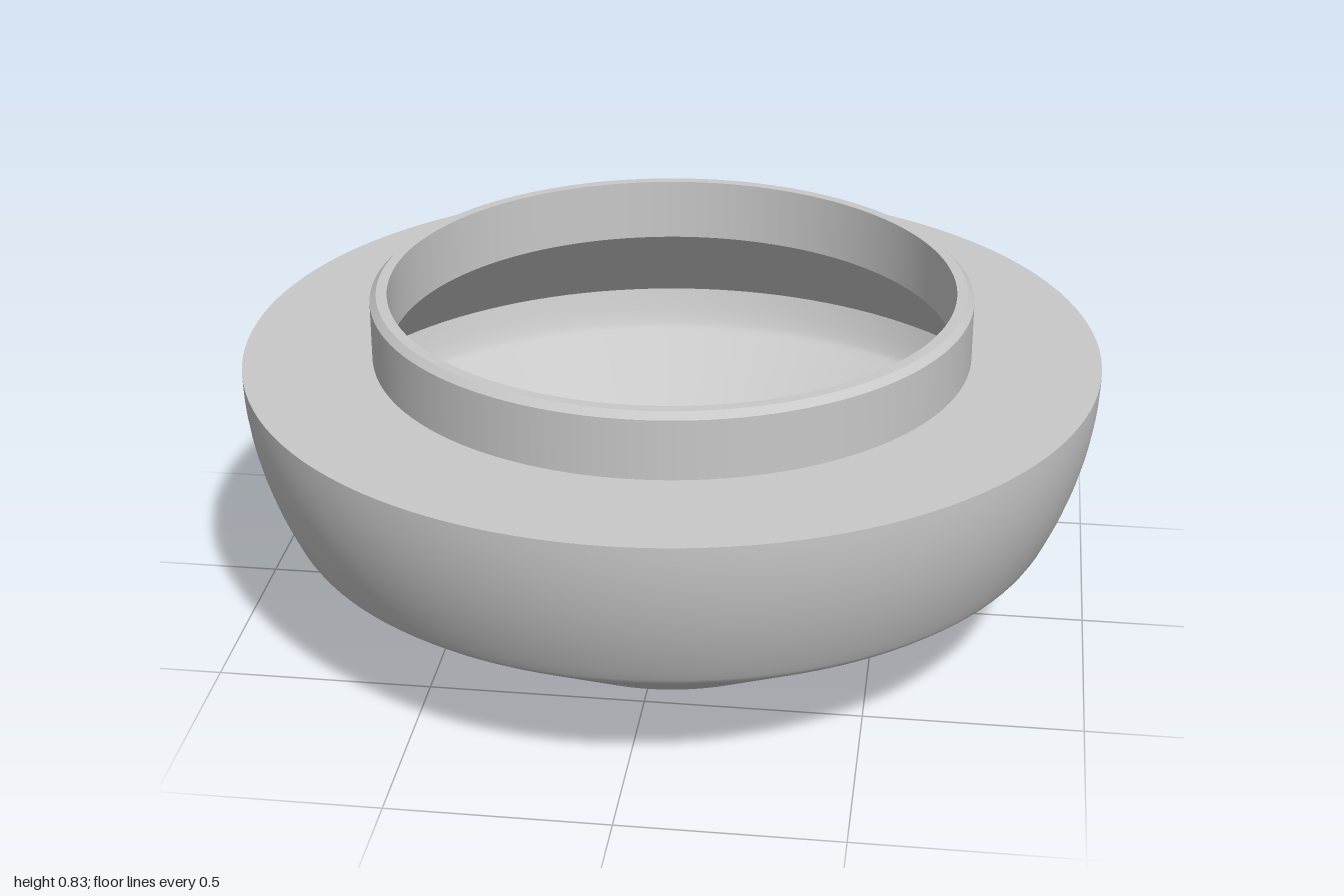
import * as THREE from 'three';

const SEGMENTS = 128;

export function createModel() {
  const model = new THREE.Group();
  model.name = 'hollowBowl';
  const grey = new THREE.MeshStandardMaterial({ color: 0xc8c8c8 });
  grey.name = 'plain grey';

  // Each band is a separate lathe, so bands meet in sharp edges.
  const band = (name, points) => {
    const profile = points.map(([r, y]) => new THREE.Vector2(r, y));
    const mesh = new THREE.Mesh(new THREE.LatheGeometry(profile, SEGMENTS), grey);
    mesh.name = name;
    model.add(mesh);
  };

  // Curved flank, upright at the rim and leaning in toward the bottom
  const flank = [];
  for (let i = 0; i <= 16; i++) {
    const t = 1 - i / 16;
    flank.push([1 - 0.088 * t * t, 0.675 - 0.365 * t]);
  }

  // Outer skin, from the base up to the collar; the cone blends softly into the flank
  band('base', [[0, 0], [0.445, 0]]);
  band('outerWall', [[0.445, 0], [0.88, 0.281], [0.895, 0.291], [0.905, 0.299], ...flank]);
  band('deck', [[1, 0.675], [0.7, 0.675]]);
  band('collar', [[0.7, 0.675], [0.7, 0.815]]);
  band('collarChamfer', [[0.7, 0.815], [0.685, 0.83]]);
  band('collarRim', [[0.685, 0.83], [0.66, 0.83]]);

  // Hollow inside, a thin shell following the outer skin down to the floor
  band('bore', [[0.66, 0.83], [0.66, 0.68]]);
  band('innerShoulder', [[0.66, 0.68], [0.913, 0.428]]);
  band('innerWall', [
    [0.913, 0.428], [0.9, 0.378], [0.886, 0.342], [0.876, 0.329], [0.86, 0.318], [0.43, 0.04],
  ]);
  band('innerFloor', [[0.43, 0.04], [0, 0.04]]);

  return model;
}
